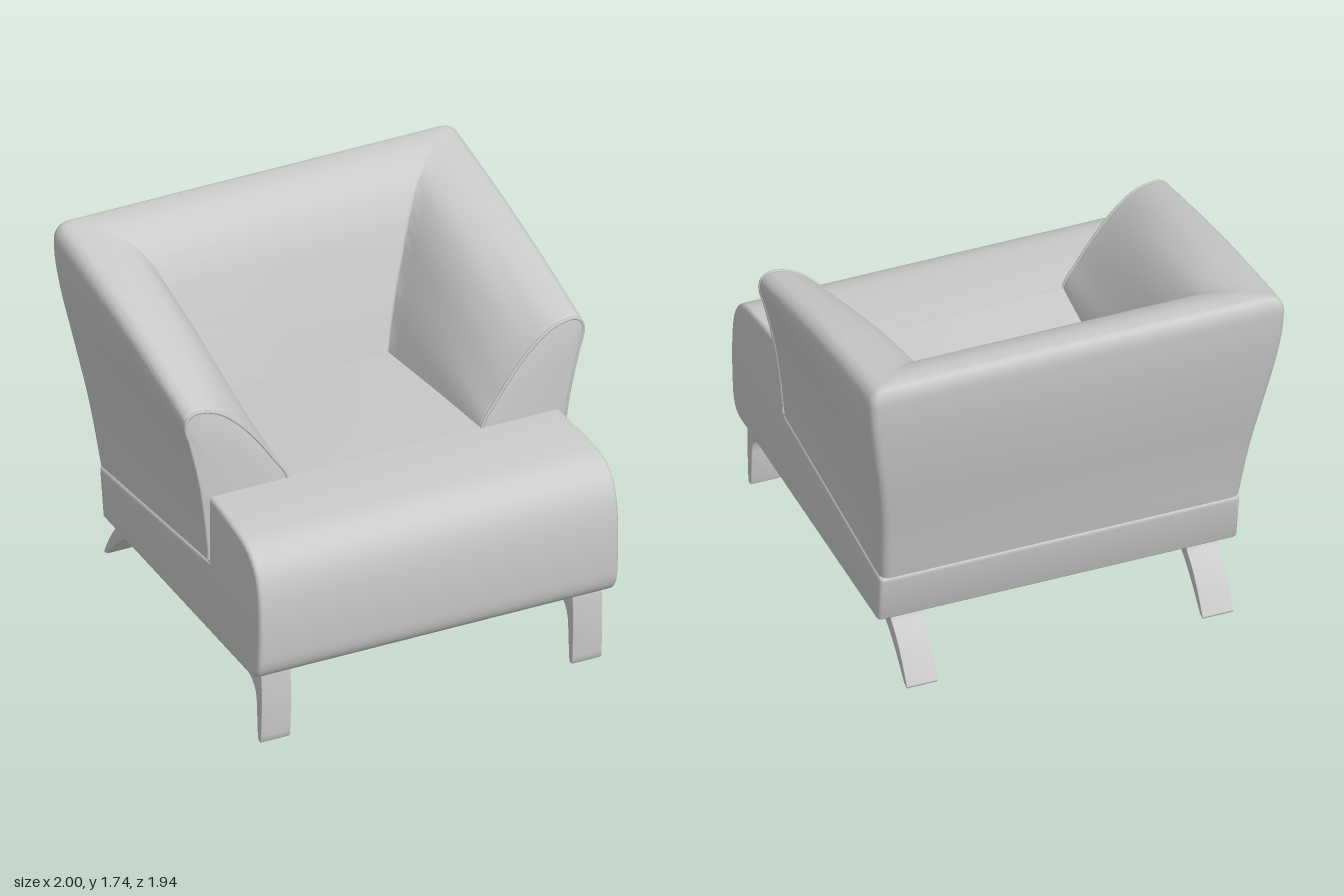
import * as THREE from 'three';
import { toCreasedNormals } from 'three/addons/utils/BufferGeometryUtils.js';

const material = new THREE.MeshStandardMaterial({ color: 0xcccccc, side: THREE.DoubleSide });
const V = (x, y, z) => new THREE.Vector3(x, y, z);

function addMesh(parent, name, geometry) {
  const mesh = new THREE.Mesh(geometry, material);
  mesh.name = name;
  parent.add(mesh);
  return mesh;
}

// Extrudes a side profile (drawn in z, y) across x from x0 to x1 with rounded edges.
function sideExtrude(shape, x0, x1, bevel) {
  const geo = new THREE.ExtrudeGeometry(shape, {
    depth: x1 - x0 - 2 * bevel, curveSegments: 14,
    bevelThickness: bevel, bevelSize: bevel, bevelOffset: -bevel, bevelSegments: 3,
  });
  geo.rotateY(-Math.PI / 2);
  geo.translate(x1 - bevel, 0, 0);
  return toCreasedNormals(geo, 0.6);
}

// Base with the rounded seat front, stepped down where the shell sits.
function baseShape() {
  const s = new THREE.Shape();
  s.moveTo(-0.69, 0.291);
  s.lineTo(0.86, 0.36);
  s.bezierCurveTo(0.92, 0.362, 0.95, 0.4, 0.96, 0.47);
  s.bezierCurveTo(0.975, 0.6, 0.975, 0.74, 0.96, 0.83);
  s.bezierCurveTo(0.94, 0.96, 0.87, 1.02, 0.74, 1.027);
  s.quadraticCurveTo(0.58, 1.036, 0.39, 1.03);
  s.lineTo(0.39, 0.685);
  s.lineTo(-0.73, 0.546);
  s.quadraticCurveTo(-0.752, 0.543, -0.749, 0.52);
  s.lineTo(-0.715, 0.305);
  s.quadraticCurveTo(-0.712, 0.29, -0.69, 0.291);
  return s;
}

// Padded surface between the arms, sloping down to the back.
function cushionShape() {
  const s = new THREE.Shape();
  s.moveTo(0.41, 0.6);
  s.lineTo(0.41, 1.03);
  s.quadraticCurveTo(0.1, 1.01, -0.55, 0.942);
  s.lineTo(-0.55, 0.6);
  return s;
}

function frontLegShape() {
  const s = new THREE.Shape();
  s.moveTo(0.885, 0.38);
  s.quadraticCurveTo(0.9, 0.2, 0.882, 0.01);
  s.lineTo(0.875, 0);
  s.lineTo(0.855, 0);
  s.lineTo(0.848, 0.02);
  s.lineTo(0.838, 0.18);
  s.bezierCurveTo(0.835, 0.27, 0.79, 0.295, 0.74, 0.303);
  s.lineTo(0.62, 0.322);
  s.lineTo(0.61, 0.37);
  return s;
}

function rearLegShape() {
  const s = new THREE.Shape();
  s.moveTo(-0.35, 0.32);
  s.lineTo(-0.36, 0.278);
  s.lineTo(-0.45, 0.268);
  s.bezierCurveTo(-0.62, 0.25, -0.72, 0.13, -0.83, 0.01);
  s.lineTo(-0.858, 0);
  s.lineTo(-0.862, 0.01);
  s.quadraticCurveTo(-0.77, 0.19, -0.68, 0.25);
  s.quadraticCurveTo(-0.66, 0.27, -0.665, 0.305);
  return s;
}

// Arm section at its front end (x, y), from outer bottom over the top to the inside.
const FRONT = [[0.865, 0.69], [0.885, 0.9], [0.912, 1.1], [0.962, 1.33], [0.985, 1.42], [0.977, 1.47],
  [0.94, 1.495], [0.87, 1.488], [0.8, 1.455], [0.71, 1.375], [0.62, 1.265], [0.54, 1.145],
  [0.485, 1.06], [0.455, 0.95]].map(([x, y]) => V(x, y, 0.4));

// The same section where arm and back meet at the mitre (x, y, z).
const MITRE = [[0.865, 0.55, -0.76], [0.892, 0.85, -0.825], [0.935, 1.15, -0.895], [0.98, 1.42, -0.945],
  [0.998, 1.6, -0.967], [0.993, 1.69, -0.97], [0.965, 1.73, -0.955], [0.9, 1.74, -0.91],
  [0.81, 1.727, -0.82], [0.7, 1.67, -0.715], [0.62, 1.55, -0.64], [0.55, 1.37, -0.58],
  [0.48, 1.16, -0.52], [0.42, 0.92, -0.46]].map((p) => V(...p));

const CENTRE = V(0.73, 0.98, 0.4);
const SAMPLES = 65;

function sampleSection(points, bottom) {
  const curve = new THREE.CatmullRomCurve3(points);
  const out = [];
  for (let i = 0; i <= SAMPLES; i++) out.push(curve.getPoint(i / SAMPLES));
  out.push(bottom);
  return out;
}

// Rings of the shell from the front of one arm to the middle of the back.
function halfRings() {
  const front = sampleSection(FRONT, V(0.455, 0.69, 0.4));
  const mitre = sampleSection(MITRE, V(0.42, 0.586, -0.46));
  const rings = [];
  // Rounded front end of the arm
  for (const [scale, z] of [[0, 0.403], [0.5, 0.403], [0.955, 0.4], [0.98, 0.397], [0.994, 0.388]]) {
    rings.push(front.map((p) => CENTRE.clone().lerp(p, scale).setZ(z)));
  }
  // Corner radius: wide outside, tight inside
  const radius = mitre.map((_, j) =>
    THREE.MathUtils.lerp(0.05, 0.012, THREE.MathUtils.smoothstep(j / SAMPLES, 0.45, 0.65)));
  const starts = front.map((p) => p.clone().setZ(0.375));
  const ends = mitre.map((m, j) => {
    const dir = starts[j].clone().sub(m).normalize();
    return m.clone().addScaledVector(dir, radius[j]);
  });
  // Arm, with a slight rise along the upper edge
  const steps = 12;
  for (let i = 0; i <= steps; i++) {
    const t = i / steps;
    rings.push(starts.map((p, j) => {
      const q = p.clone().lerp(ends[j], t);
      q.y += 0.024 * Math.sin(Math.PI * t) * THREE.MathUtils.smoothstep(q.y, 1.0, 1.5);
      return q;
    }));
  }
  // Corner
  for (let i = 1; i <= 5; i++) {
    rings.push(mitre.map((m, j) => {
      const after = m.clone().setX(m.x - radius[j]);
      return new THREE.QuadraticBezierCurve3(ends[j], m, after).getPoint(i / 5);
    }));
  }
  rings.push(mitre.map((m) => m.clone().setX(0)));
  return rings;
}

// Skins the rings, mirrored for the other arm, into one closed shell.
function shellGeometry(half) {
  const mirrored = half.slice(0, -1).reverse().map((r) => r.map((p) => V(-p.x, p.y, p.z)));
  const rings = [...half, ...mirrored];
  const n = rings[0].length;
  const index = [];
  for (let i = 0; i < rings.length - 1; i++) {
    for (let j = 0; j < n; j++) {
      const a = i * n + j, b = i * n + (j + 1) % n;
      index.push(a, a + n, b, b, a + n, b + n);
    }
  }
  const geo = new THREE.BufferGeometry().setFromPoints(rings.flat());
  geo.setIndex(index);
  return toCreasedNormals(geo, 0.6);
}

export function createModel() {
  const chair = new THREE.Group();
  chair.name = 'armchair';

  // Base, widening slightly towards the front
  const base = sideExtrude(baseShape(), -0.865, 0.865, 0.02);
  const pos = base.attributes.position;
  for (let i = 0; i < pos.count; i++) {
    const widen = 1 + 0.026 * THREE.MathUtils.smoothstep(pos.getZ(i), 0.38, 0.9);
    pos.setX(i, pos.getX(i) * widen);
  }
  addMesh(chair, 'seatBase', base);
  addMesh(chair, 'seatCushion', sideExtrude(cushionShape(), -0.5, 0.5, 0.005));

  // Arms and back in one wrapped shell
  const half = halfRings();
  addMesh(chair, 'armsAndBack', shellGeometry(half));

  // Piping round the arm fronts, and the legs, on both sides
  const piping = new THREE.CatmullRomCurve3(half[3], true);
  for (const side of [1, -1]) {
    const label = side > 0 ? 'left' : 'right';
    const pipe = new THREE.TubeGeometry(piping, 140, 0.008, 6, true);
    addMesh(chair, label + 'ArmPiping', pipe).scale.x = side;
    const span = (a, b) => (side > 0 ? [a, b] : [-b, -a]);
    addMesh(chair, label + 'FrontLeg', sideExtrude(frontLegShape(), ...span(0.695, 0.84), 0.004));
    addMesh(chair, label + 'RearLeg', sideExtrude(rearLegShape(), ...span(0.637, 0.785), 0.003));
  }
  return chair;
}
